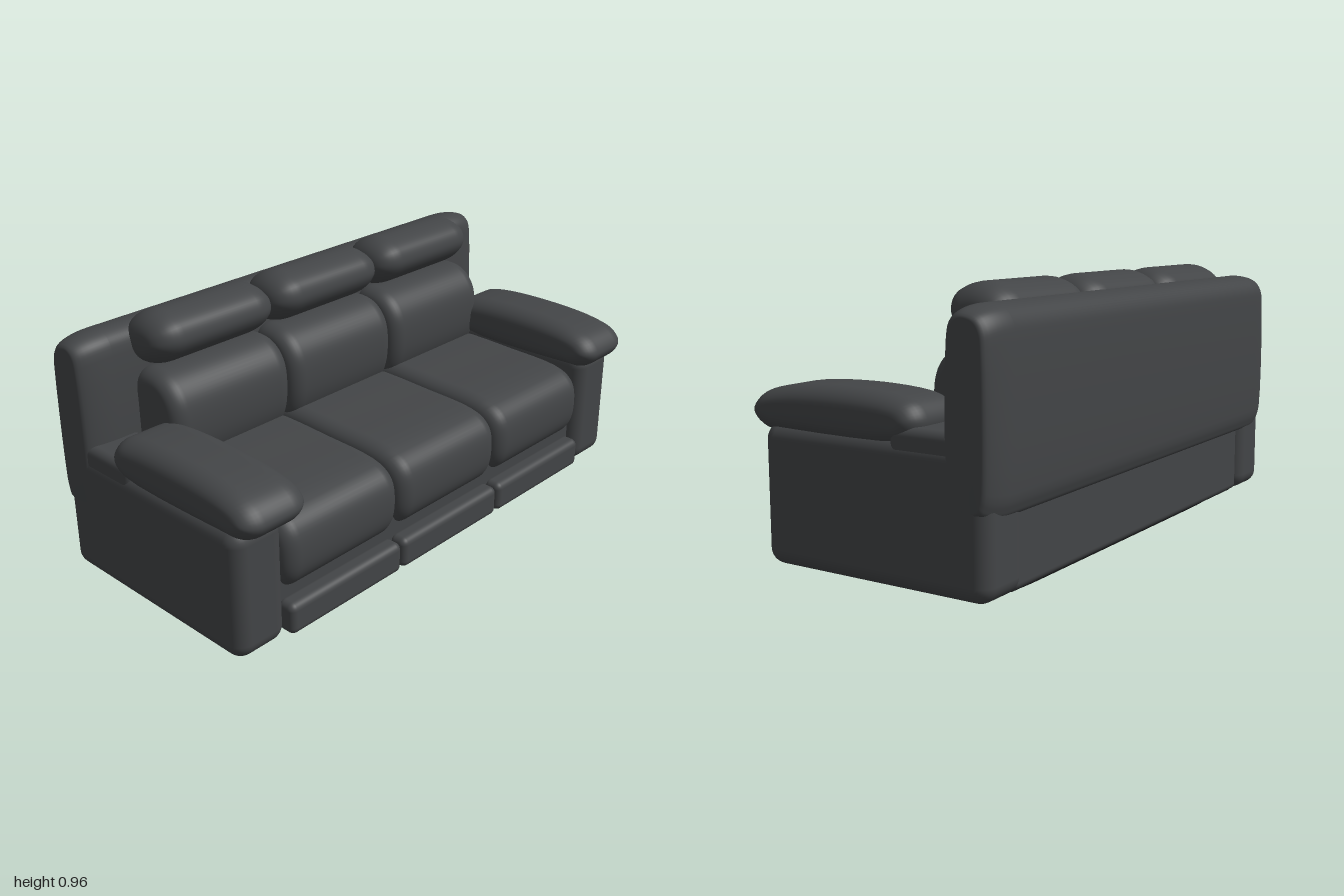
import * as THREE from 'three';
import { toCreasedNormals } from 'three/addons/utils/BufferGeometryUtils.js';
import { RoundedBoxGeometry } from 'three/addons/geometries/RoundedBoxGeometry.js';

const leather = new THREE.MeshStandardMaterial({ color: 0x434547 });
const black = new THREE.MeshStandardMaterial({ color: 0x161617 });

// Side profiles as [z, y], running front, top, back, bottom
const SEAT = [[0.405, 0.24], [0.42, 0.33], [0.405, 0.41], [0.35, 0.455], [0.1, 0.475],
  [-0.22, 0.465], [-0.26, 0.42], [-0.26, 0.23], [-0.22, 0.19], [0.35, 0.19]];
const BACK_CUSHION = [[-0.105, 0.5], [-0.095, 0.62], [-0.11, 0.69], [-0.15, 0.74], [-0.21, 0.765],
  [-0.3, 0.755], [-0.34, 0.7], [-0.34, 0.47], [-0.3, 0.43], [-0.14, 0.44]];
const HEADREST = [[-0.145, 0.88], [-0.16, 0.92], [-0.2, 0.945], [-0.26, 0.957], [-0.32, 0.945],
  [-0.37, 0.91], [-0.38, 0.86], [-0.35, 0.79], [-0.3, 0.765], [-0.24, 0.775], [-0.18, 0.81], [-0.15, 0.85]];
const ARM_PAD = [[0.475, 0.54], [0.44, 0.59], [0.35, 0.62], [0.12, 0.636], [-0.1, 0.625],
  [-0.17, 0.605], [-0.2, 0.56], [-0.19, 0.515], [-0.15, 0.48], [0.38, 0.475], [0.42, 0.478], [0.46, 0.505]];
const BACKREST = [[-0.3, 0.33], [-0.3, 0.83], [-0.315, 0.88], [-0.35, 0.903], [-0.39, 0.905],
  [-0.44, 0.89], [-0.467, 0.855], [-0.475, 0.8], [-0.475, 0.36], [-0.465, 0.315], [-0.45, 0.29], [-0.32, 0.29]];

// Sweeps a side profile across a width; the ends round off over length rx, shrinking by inset
function cushion(profile, width, rx, inset) {
  const curve = new THREE.CatmullRomCurve3(
    profile.map(([z, y]) => new THREE.Vector3(0, y, z)), true, 'centripetal');
  const ring = curve.getPoints(profile.length * 5).slice(0, -1);
  const box = new THREE.Box3().setFromPoints(ring);
  const size = box.getSize(new THREE.Vector3());
  const mid = box.getCenter(new THREE.Vector3());
  const n = ring.length, steps = 8, stations = [];
  for (let k = 0; k <= steps; k++) {
    const a = (1 - k / steps) * Math.PI / 2;
    stations.push([width / 2 - rx + rx * Math.sin(a), inset * (1 - Math.cos(a))]);
  }
  const rows = [...stations.map(([x, s]) => [-x, s]), ...stations.reverse()];
  const pos = [], idx = [];
  for (const [x, s] of rows) {
    const sy = 1 - 2 * s / size.y, sz = 1 - 2 * s / size.z;
    for (const p of ring) pos.push(x, mid.y + (p.y - mid.y) * sy, mid.z + (p.z - mid.z) * sz);
  }
  const left = rows.length * n, last = (rows.length - 1) * n;
  pos.push(-width / 2, mid.y, mid.z, width / 2, mid.y, mid.z);
  for (let j = 0; j < n; j++) {
    const k = (j + 1) % n;
    for (let i = 0; i < rows.length - 1; i++) {
      const a = i * n + j, b = a + n, c = i * n + k, d = c + n;
      idx.push(a, b, c, b, d, c);
    }
    idx.push(left, j, k, left + 1, last + k, last + j);
  }
  const g = new THREE.BufferGeometry();
  g.setAttribute('position', new THREE.Float32BufferAttribute(pos, 3));
  g.setIndex(idx);
  g.computeVertexNormals();
  return g;
}

// Rounded box given by its extents
function block(x0, x1, y0, y1, z0, z1, r) {
  const g = new RoundedBoxGeometry(x1 - x0, y1 - y0, z1 - z0, 5, r);
  return g.translate((x0 + x1) / 2, (y0 + y1) / 2, (z0 + z1) / 2);
}

// Flat plate with broad rounded corners
function plate(hx, z0, z1, y0, y1) {
  const hz = (z1 - z0) / 2, cx = 0.3, cz = 0.1, s = new THREE.Shape();
  s.moveTo(hx - cx, -hz);
  s.quadraticCurveTo(hx, -hz, hx, -hz + cz).lineTo(hx, hz - cz);
  s.quadraticCurveTo(hx, hz, hx - cx, hz).lineTo(-hx + cx, hz);
  s.quadraticCurveTo(-hx, hz, -hx, hz - cz).lineTo(-hx, -hz + cz);
  s.quadraticCurveTo(-hx, -hz, -hx + cx, -hz);
  const g = new THREE.ExtrudeGeometry(s, { depth: y1 - y0 - 0.01, bevelSize: 0.005,
    bevelThickness: 0.005, bevelOffset: -0.005, bevelSegments: 2, curveSegments: 12 });
  g.rotateX(-Math.PI / 2).translate(0, y0 + 0.005, (z0 + z1) / 2);
  return toCreasedNormals(g, 0.6);
}

export function createModel() {
  const sofa = new THREE.Group();
  sofa.name = 'sofa';
  const add = (name, geometry, material = leather, parent = sofa) => {
    const m = new THREE.Mesh(geometry, material);
    m.name = name;
    parent.add(m);
    return m;
  };

  // Base, frame and backrest
  add('basePlate', plate(0.86, -0.36, 0.28, 0, 0.036), black);
  add('underside', new THREE.BoxGeometry(1.6, 0.02, 0.74).translate(0, 0.044, -0.04), black);
  add('seatFrame', block(-0.82, 0.82, 0.04, 0.34, -0.435, 0.37, 0.025));
  add('backrest', cushion(BACKREST, 2, 0.13, 0.035));

  // Three seats
  const seat = cushion(SEAT, 0.525, 0.06, 0.05);
  const back = cushion(BACK_CUSHION, 0.525, 0.06, 0.05);
  const head = cushion(HEADREST, 0.525, 0.1, 0.08);
  const foot = block(-0.262, 0.262, 0.048, 0.162, 0.355, 0.43, 0.025);
  for (const x of [-0.53, 0, 0.53]) {
    const unit = new THREE.Group();
    unit.name = 'seatUnit';
    unit.position.x = x;
    add('seatCushion', seat, leather, unit);
    add('backCushion', back, leather, unit);
    add('headrest', head, leather, unit);
    add('footrest', foot, leather, unit);
    sofa.add(unit);
  }

  // Arms, symmetrical in themselves so each side is a shifted copy
  const body = block(-0.105, 0.105, 0.04, 0.505, -0.457, 0.412, 0.055);
  const riser = block(-0.1, 0.1, 0.36, 0.54, -0.4, -0.1, 0.03);
  const pad = cushion(ARM_PAD, 0.265, 0.075, 0.06);
  for (const [side, s] of [['left', 1], ['right', -1]]) {
    add(side + 'ArmBody', body).position.x = s * 0.895;
    add(side + 'ArmRear', riser).position.x = s * 0.895;
    add(side + 'ArmPad', pad).position.x = s * 0.867;
  }
  return sofa;
}
